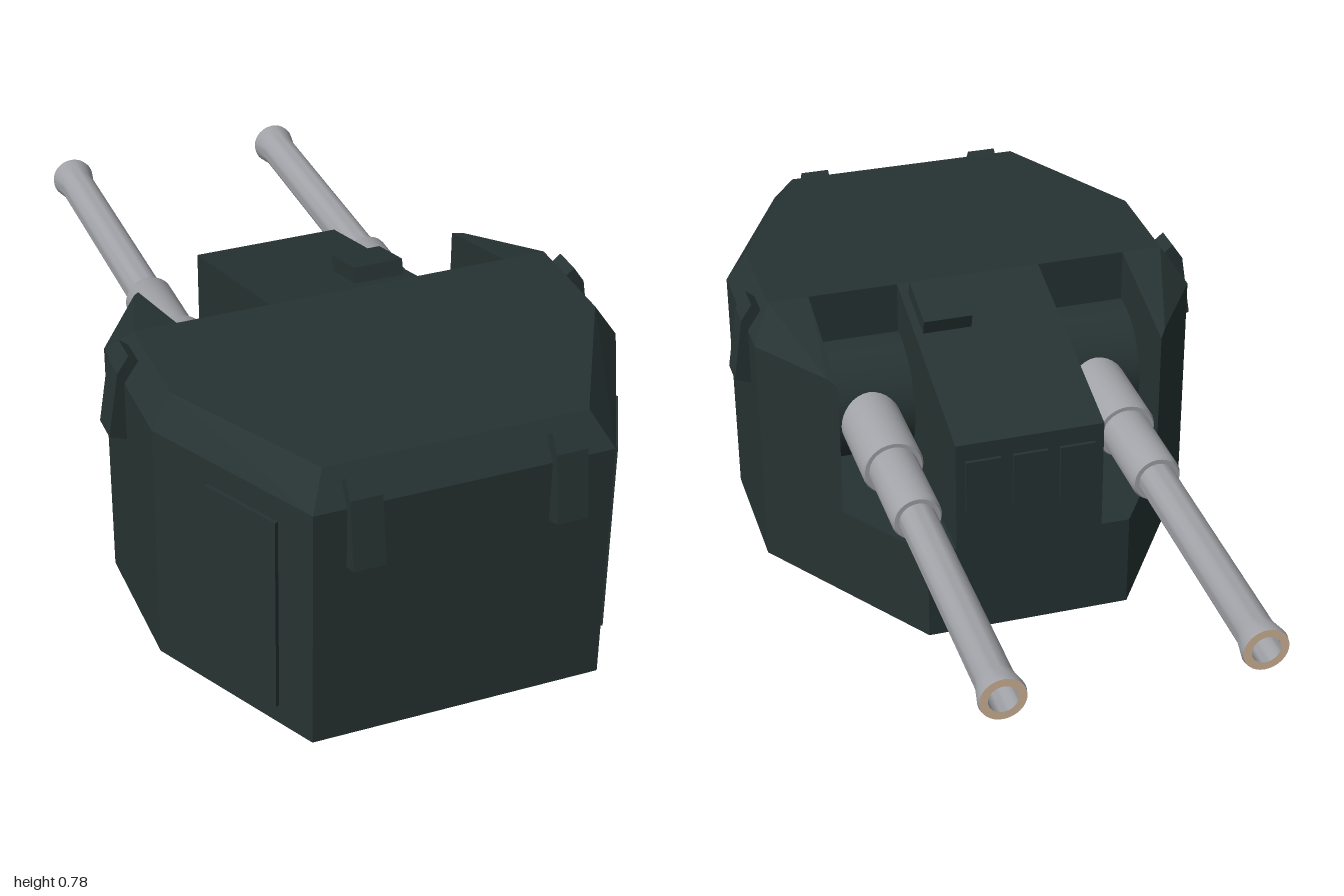
import * as THREE from 'three';
import { ConvexGeometry } from 'three/addons/geometries/ConvexGeometry.js';
import { toCreasedNormals } from 'three/addons/utils/BufferGeometryUtils.js';

export function createModel() {
  const model = new THREE.Group();
  model.name = 'gunTurret';

  const material = (name, color, side = THREE.FrontSide) => {
    const m = new THREE.MeshStandardMaterial({ color, side });
    m.name = name;
    return m;
  };
  const armour = material('darkGreenArmour', 0x263332);
  const steel = material('greySteel', 0xa0a2a7);
  const tan = material('tanMetal', 0xd2b799, THREE.DoubleSide);

  const add = (name, geometry, mat, parent = model) => {
    const mesh = new THREE.Mesh(geometry, mat);
    mesh.name = name;
    parent.add(mesh);
    return mesh;
  };
  // Convex armour block from its corner points
  const block = (name, corners) =>
    add(name, new ConvexGeometry(corners.map(c => new THREE.Vector3(...c))), armour);
  const mirrored = pts => pts.flatMap(([x, y, z]) => [[x, y, z], [-x, y, z]]);
  const prism = (plan, y0, y1) => plan.flatMap(([x, z]) => [[x, y0, z], [x, y1, z]]);

  // Rear housing with bevelled roof edge
  block('rearHousing', mirrored([
    ...prism([[0.34, 0.96], [0.55, 0.55], [0.55, 0.27]], 0.08, 0.68),
    [0.3, 0.755, 0.905], [0.5, 0.755, 0.535], [0.5, 0.755, 0.27],
  ]));

  // Low front hull under the gun slots
  block('frontHull', mirrored(prism([[0.55, 0.27], [0.55, 0.2], [0.25, -0.25]], 0.08, 0.32)));

  // Sloping centre block between the guns
  block('centreBlock', mirrored([
    [0.18, 0.32, 0.27], [0.18, 0.755, 0.27], [0.18, 0.32, -0.25], [0.18, 0.605, -0.25],
  ]));

  // Vision shutters on the centre block
  for (const x of [-0.115, 0, 0.115]) {
    add('visionShutter', new THREE.BoxGeometry(0.085, 0.14, 0.016), armour)
      .position.set(x, 0.49, -0.25);
  }

  // Roof hatch lying on the slope
  const hatch = add('roofHatch', new THREE.BoxGeometry(0.12, 0.05, 0.14), armour);
  hatch.position.set(0.1, 0.738, 0.165);
  hatch.rotation.x = -0.28;

  // Base ring
  add('baseRing', new THREE.CylinderGeometry(0.46, 0.46, 0.08, 32, 1, true), tan)
    .position.set(0, 0.04, 0.38);

  // Bracket profile: distance out from the wall, height
  const bracketShape = new THREE.Shape([
    [-0.04, 0.725], [-0.012, 0.748], [0.015, 0.708], [0.04, 0.548], [0, 0.533], [-0.02, 0.6],
  ].reverse().map(p => new THREE.Vector2(...p)));
  const bracketGeometry = new THREE.ExtrudeGeometry(bracketShape, { depth: 0.072, bevelEnabled: false });
  bracketGeometry.translate(0, 0, -0.036);
  const bracket = (x, z, turn) => {
    const mesh = add('wallBracket', bracketGeometry, armour);
    mesh.position.set(x, 0, z);
    mesh.rotation.y = turn;
  };

  // Barrel profile: radius, distance toward the muzzle
  const barrelProfile = [
    [0.075, -0.25], [0.075, 0.09], [0.07, 0.1], [0.06, 0.1], [0.06, 0.31], [0.055, 0.32],
    [0.044, 0.32], [0.044, 0.94], [0.054, 0.99], [0.052, 1],
  ];
  const boreProfile = [[0.033, 1], [0.033, 0.85], [0, 0.85]];
  const lathe = pts => toCreasedNormals(
    new THREE.LatheGeometry(pts.map(p => new THREE.Vector2(...p)), 32).rotateX(-Math.PI / 2), 0.5);
  const barrelGeometry = lathe(barrelProfile);
  const boreGeometry = lathe(boreProfile);
  const rimGeometry = new THREE.RingGeometry(0.033, 0.052, 32).rotateY(Math.PI);

  for (const s of [1, -1]) {
    // Cheek armour outside each gun slot
    block('cheekArmour', [
      ...prism([[0.55, 0.27], [0.55, 0.2]], 0.32, 0.68),
      [0.4, 0.32, 0.27], [0.4, 0.755, 0.27], [0.5, 0.755, 0.27],
      [0.4, 0.32, -0.025], [0.4, 0.67, -0.025], [0.418, 0.32, 0.002], [0.418, 0.68, 0.002],
    ].map(([x, y, z]) => [s * x, y, z]));

    // Curved gun shield in the slot
    const shield = add('gunShield', toCreasedNormals(
      new THREE.CylinderGeometry(0.154, 0.154, 0.22, 40), 0.5), armour);
    shield.rotation.z = Math.PI / 2;
    shield.position.set(s * 0.29, 0.47, 0.27);

    // Gun
    const gun = new THREE.Group();
    gun.name = 'gun';
    gun.position.set(s * 0.29, 0.47, 0);
    add('barrel', barrelGeometry, steel, gun);
    add('bore', boreGeometry, steel, gun);
    add('muzzleRim', rimGeometry, tan, gun).position.z = -1;
    model.add(gun);

    // Door on the angled rear wall
    const door = add('rearDoor', new THREE.BoxGeometry(0.2, 0.49, 0.018), armour);
    door.position.set(s * 0.43, 0.375, 0.785);
    door.rotation.y = s * Math.atan2(0.41, 0.21);

    // Rear and side brackets
    bracket(s * 0.23, 0.96, -Math.PI / 2);
    bracket(s * 0.55, 0.318, s > 0 ? 0 : Math.PI);
  }
  return model;
}
